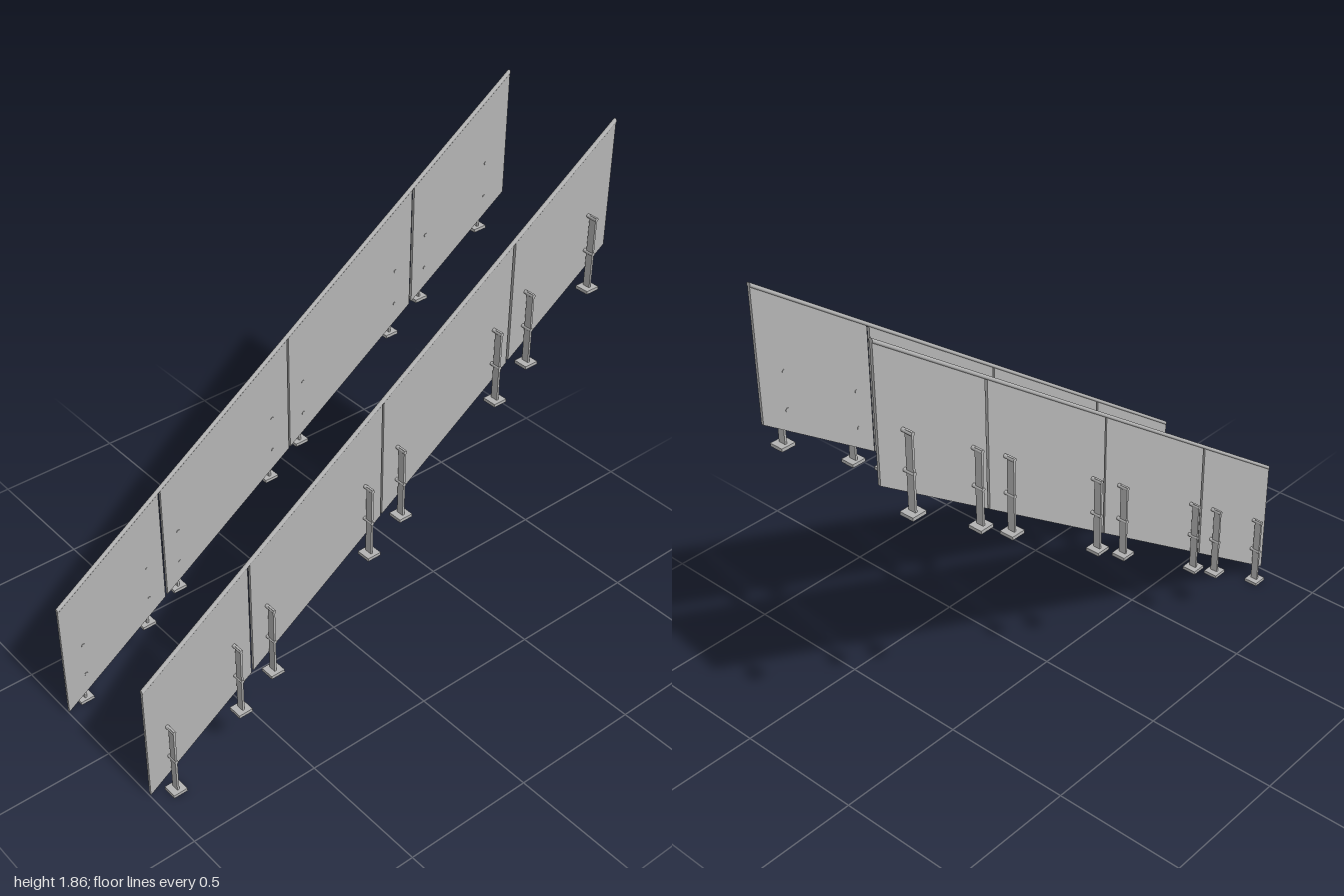
import * as THREE from 'three';

const SLOPE = 0.686;
const steel = new THREE.MeshStandardMaterial({ color: 0xb4b4b4 });
steel.name = 'grey steel';

function add(parent, name, geometry, x = 0, y = 0, z = 0) {
  const mesh = new THREE.Mesh(geometry, steel);
  mesh.name = name;
  mesh.position.set(x, y, z);
  parent.add(mesh);
  return mesh;
}

// Sheared panel between two x positions, following the slope
function panelGeometry(x0, x1) {
  const low = (x) => 0.01 + SLOPE * (x + 1);
  const high = (x) => low(x) + 0.459;
  const shape = new THREE.Shape([
    new THREE.Vector2(x0, low(x0)), new THREE.Vector2(x1, low(x1)),
    new THREE.Vector2(x1, high(x1)), new THREE.Vector2(x0, high(x0)),
  ]);
  const geometry = new THREE.ExtrudeGeometry(shape, { depth: 0.01, bevelEnabled: false });
  return geometry.translate(0, 0, -0.005);
}

// Round handrail with upright ends, made by shearing a level tube
function railGeometry() {
  const geometry = new THREE.CylinderGeometry(0.008, 0.008, 2, 20);
  geometry.rotateZ(-Math.PI / 2);
  const shear = new THREE.Matrix4();
  shear.elements[1] = SLOPE;
  return geometry.applyMatrix4(shear);
}

// Flat upright with a foot plate and two pins that hold the panel
function createPost(side) {
  const post = new THREE.Group();
  post.name = 'post';
  add(post, 'footPlate', new THREE.BoxGeometry(0.055, 0.012, 0.054), 0, 0.006, side * 0.032);
  add(post, 'upright', new THREE.BoxGeometry(0.008, 0.274, 0.028), 0, 0.147, side * 0.031);
  for (const y of [0.143, 0.277]) {
    const pin = new THREE.CylinderGeometry(0.007, 0.007, 0.054, 16).rotateX(Math.PI / 2);
    add(post, 'panelPin', pin, 0, y, side * 0.02);
  }
  return post;
}

function createRailing(side) {
  const railing = new THREE.Group();
  railing.name = side > 0 ? 'frontRailing' : 'backRailing';
  railing.position.z = side * 0.25;

  // Four panels with narrow gaps
  const spans = [[-1, -0.57], [-0.56, -0.006], [0.001, 0.555], [0.565, 1]];
  for (const [x0, x1] of spans) add(railing, 'panel', panelGeometry(x0, x1));
  add(railing, 'handrail', railGeometry(), 0, 0.476 + SLOPE, 0);

  // A pair of posts behind each panel
  for (const x of [-0.917, -0.637, -0.498, -0.077, 0.063, 0.485, 0.625, 0.905]) {
    const post = createPost(side);
    post.position.set(x, SLOPE * (x + 0.917), 0);
    railing.add(post);
  }
  return railing;
}

export function createModel() {
  const model = new THREE.Group();
  model.name = 'slopedRailings';
  for (const side of [1, -1]) model.add(createRailing(side));
  return model;
}
